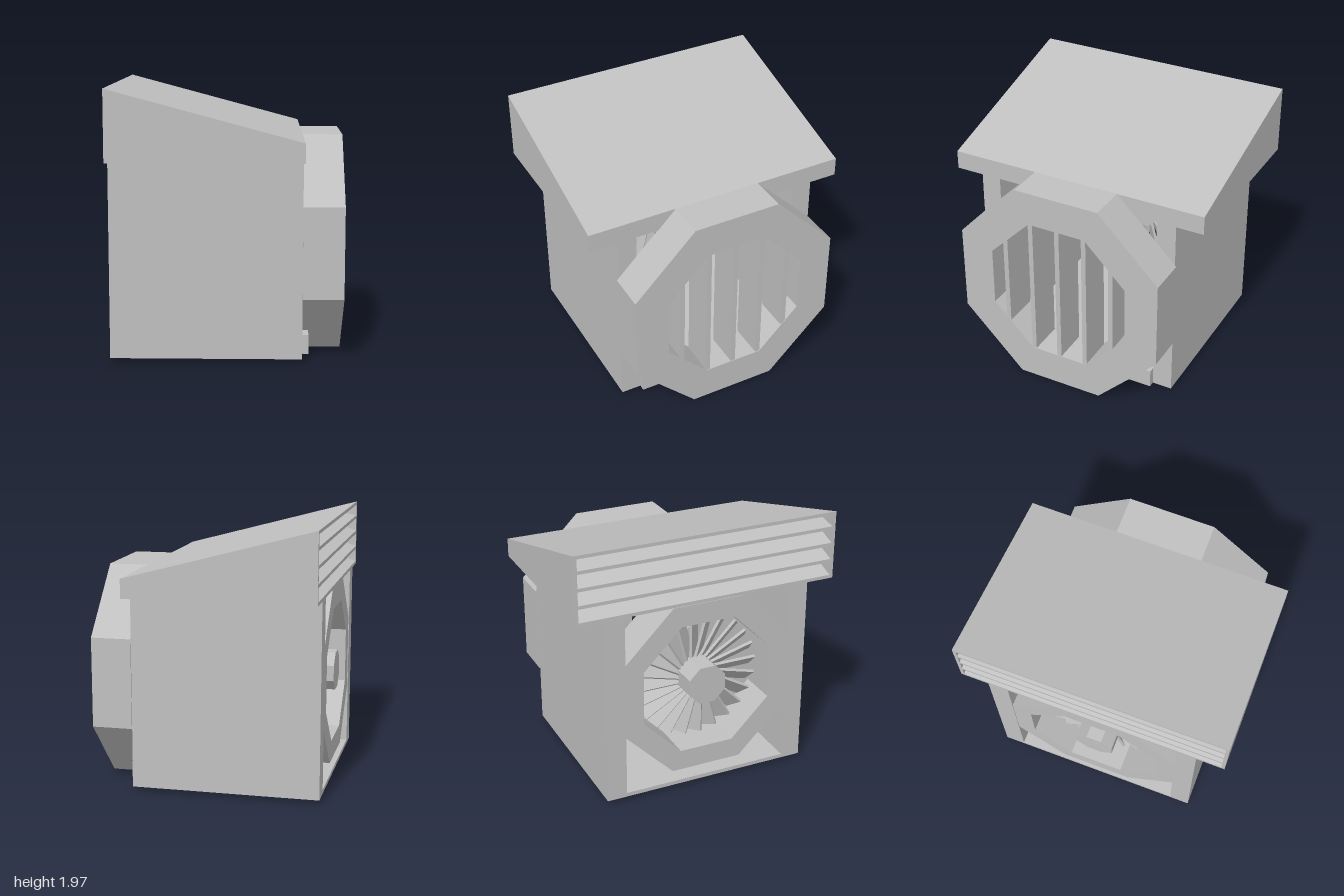
import * as THREE from 'three';

const CY = 0.8; // height of the fan axis

export function createModel() {
  const model = new THREE.Group();
  const grey = new THREE.MeshStandardMaterial({ color: 0xc0c0c0, flatShading: true });
  grey.name = 'lightGrey';

  const add = (name, geometry, parent = model) => {
    const mesh = new THREE.Mesh(geometry, grey);
    mesh.name = name;
    parent.add(mesh);
    return mesh;
  };
  // box given by its limits on each axis
  const box = (name, x0, x1, y0, y1, z0, z1, parent) => {
    const m = add(name, new THREE.BoxGeometry(x1 - x0, y1 - y0, z1 - z0), parent);
    m.position.set((x0 + x1) / 2, (y0 + y1) / 2, (z0 + z1) / 2);
    return m;
  };
  // side profile in x and y, extruded between two z limits
  const profile = (name, pts, z0, z1, parent) => {
    const shape = new THREE.Shape(pts.map(([x, y]) => new THREE.Vector2(x, y)));
    const g = new THREE.ExtrudeGeometry(shape, { depth: z1 - z0, bevelEnabled: false });
    return add(name, g.translate(0, 0, z0), parent);
  };
  // octagon with flat sides at distance r from the axis
  const octagon = (r) => Array.from({ length: 8 }, (_, i) => {
    const a = (i + 0.5) * Math.PI / 4, R = r / Math.cos(Math.PI / 8);
    return new THREE.Vector2(R * Math.cos(a), R * Math.sin(a));
  });
  // octagonal ring or plug along x
  const octPrism = (name, outer, inner, x0, x1, parent) => {
    const shape = new THREE.Shape(octagon(outer));
    if (inner) shape.holes.push(new THREE.Path(octagon(inner).reverse()));
    const g = new THREE.ExtrudeGeometry(shape, { depth: x1 - x0, bevelEnabled: false });
    g.rotateY(Math.PI / 2).translate(x0, CY, 0);
    return add(name, g, parent);
  };

  // housing: thick side walls, thin floor, cross beam below the drum
  box('leftWall', -0.835, 0.54, 0.03, 1.46, 0.64, 0.79);
  box('rightWall', -0.835, 0.54, 0.03, 1.46, -0.79, -0.64);
  box('floor', -0.835, 0.54, 0.03, 0.06, -0.64, 0.64);
  box('floorBeam', 0.48, 0.59, 0.03, 0.17, -0.64, 0.64);

  // sloping roof with louvres in its tall end
  const roof = new THREE.Group();
  roof.name = 'roof';
  model.add(roof);
  const roofY = (x) => 1.97 - (x + 0.835) * 0.37 / 1.38;
  const X0 = -0.835, X1 = -0.66, X2 = 0.545;
  profile('roofBody', [[X1, 1.46], [X2, 1.46], [X2, 1.6], [X1, roofY(X1)]], -1, 1, roof);
  for (const z of [-1, 0.975]) {
    profile('roofCheek', [[X0, 1.46], [X1, 1.46], [X1, roofY(X1)], [X0, 1.97]], z, z + 0.025, roof);
  }
  profile('roofEdge', [[X0, 1.945], [X1, roofY(X1) - 0.025], [X1, roofY(X1)], [X0, 1.97]], -0.975, 0.975, roof);
  for (let i = 0; i < 4; i++) {
    const y = 1.46 + i * 0.125;
    const rise = i < 3 ? 0.06 : 0.03;
    profile('louvre', [[X0, y], [X1, y + rise], [X1, y + rise + 0.025], [X0, y + 0.025]], -0.975, 0.975, roof);
  }

  // outlet drum with upright grille bars
  octPrism('drum', 0.8, 0.545, 0.54, 0.835);
  const grille = new THREE.Group();
  grille.name = 'grille';
  model.add(grille);
  for (const z of [-0.43, -0.215, 0, 0.215, 0.43]) {
    const h = Math.min(0.545, 0.545 * Math.SQRT2 - Math.abs(z)) + 0.02;
    box('grilleBar', 0.56, 0.83, CY - h, CY + h, z - 0.018, z + 0.018, grille);
  }

  // inlet ring and fan at the other end
  octPrism('inletRing', 0.655, 0.5, -0.83, -0.53);
  octPrism('fanHub', 0.142, 0, -0.83, -0.53);
  const fan = new THREE.Group();
  fan.name = 'fanBlades';
  fan.position.set(-0.6, CY, 0);
  model.add(fan);
  const bladeShape = new THREE.BoxGeometry(0.02, 0.37, 0.135);
  bladeShape.rotateY(Math.PI / 4).translate(0, 0.3, 0);
  for (let i = 0; i < 24; i++) {
    add('fanBlade', bladeShape, fan).rotation.x = i * Math.PI / 12;
  }
  return model;
}
